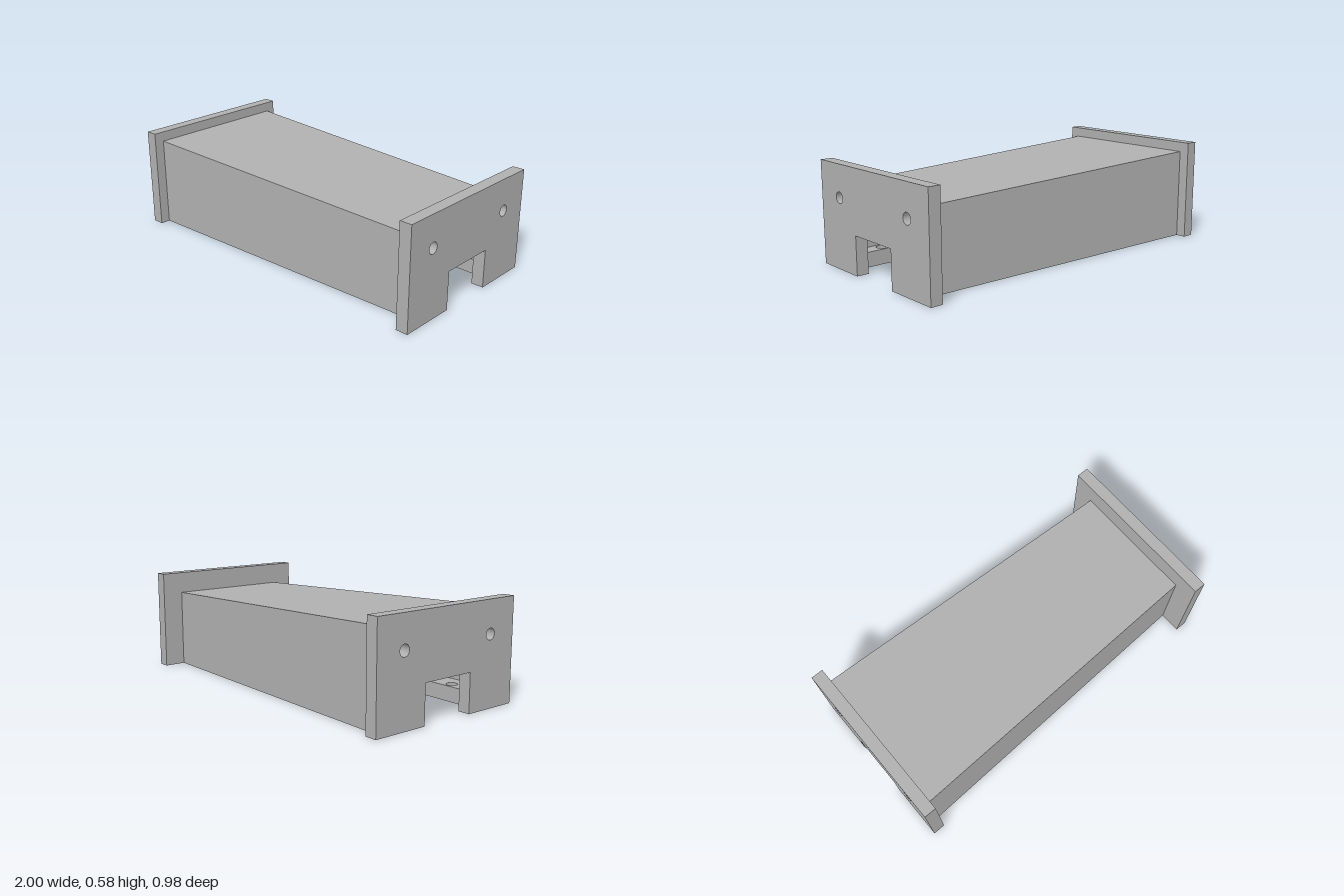
import * as THREE from 'three';

const PLATE = 0.07, INNER = 0.93, WALL = 0.02;   // end plate thickness, body half length, shell wall
const HOLE_Z = 0.31, HOLE_Y = 0.4, HOLE_R = 0.032;

// Tapered body: half width and height at a given x
const halfWidth = x => 0.3985 - 0.036 * x;
const height = x => 0.4915 - 0.0365 * x;

function polygon(points) {
  return new THREE.Shape(points.map(([a, b]) => new THREE.Vector2(a, b)));
}

function drill(shape, a, b, r) {
  const hole = new THREE.Path();
  hole.absarc(a, b, r, 0, Math.PI * 2, true);
  shape.holes.push(hole);
}

// Upside-down U, open at the bottom
function channel(w, h, innerW, innerH, bottom = 0) {
  return polygon([
    [-w, bottom], [-innerW, bottom], [-innerW, innerH], [innerW, innerH],
    [innerW, bottom], [w, bottom], [w, h], [-w, h],
  ]);
}

// Extrude a cross-section along x, centred on the given x
function alongX(shape, length, x) {
  return new THREE.ExtrudeGeometry(shape, { depth: length, bevelEnabled: false, curveSegments: 16 })
    .translate(0, 0, -length / 2).rotateY(Math.PI / 2).translate(x, 0, 0);
}

export function createModel() {
  const model = new THREE.Group();
  const grey = new THREE.MeshStandardMaterial({ color: 0xb0b0b0 });
  grey.name = 'plain grey';

  const add = (name, geometry) => {
    const mesh = new THREE.Mesh(geometry, grey);
    mesh.name = name;
    model.add(mesh);
  };

  // Thin shell, tapered in width and height along x
  const w0 = halfWidth(0), h0 = height(0);
  const shell = alongX(channel(w0, h0, w0 - WALL, h0 - WALL), INNER * 2, 0);
  const pos = shell.attributes.position;
  for (let i = 0; i < pos.count; i++) {
    const x = pos.getX(i), y = pos.getY(i), z = pos.getZ(i);
    pos.setZ(i, z + Math.sign(z) * (halfWidth(x) - w0));
    if (y > 0.1) pos.setY(i, y + height(x) - h0);
  }
  shell.computeVertexNormals();
  add('taperedShell', shell);

  // End plates with a notch and two through holes
  for (const side of [-1, 1]) {
    const shape = channel(0.49, 0.583, 0.163, 0.22);
    for (const s of [-1, 1]) drill(shape, s * HOLE_Z, HOLE_Y, HOLE_R);
    add(side > 0 ? 'leftEndPlate' : 'rightEndPlate', alongX(shape, PLATE, side * (1 - PLATE / 2)));
  }

  // Inner frames
  for (const x of [-0.465, 0, 0.465]) {
    const shape = channel(halfWidth(x) - 0.01, height(x) - 0.01, 0.262, 0.35, 0.02);
    for (const s of [-1, 1]) drill(shape, s * HOLE_Z, HOLE_Y, HOLE_R);
    add('innerFrame', alongX(shape, 0.03, x));
  }

  // Bottom flanges with bolt holes
  const thickness = 0.085;
  for (const s of [-1, 1]) {
    const shape = polygon([
      [-INNER, s * 0.262], [INNER, s * 0.262],
      [INNER, s * (halfWidth(INNER) - WALL)], [-INNER, s * (halfWidth(-INNER) - WALL)],
    ]);
    for (const x of [-0.75, -0.25, 0.25, 0.75]) drill(shape, x, s * HOLE_Z, HOLE_R);
    const flange = new THREE.ExtrudeGeometry(shape, { depth: thickness, bevelEnabled: false, curveSegments: 16 });
    flange.rotateX(Math.PI / 2).translate(0, thickness, 0);
    add(s > 0 ? 'frontFlange' : 'backFlange', flange);
  }

  return model;
}
